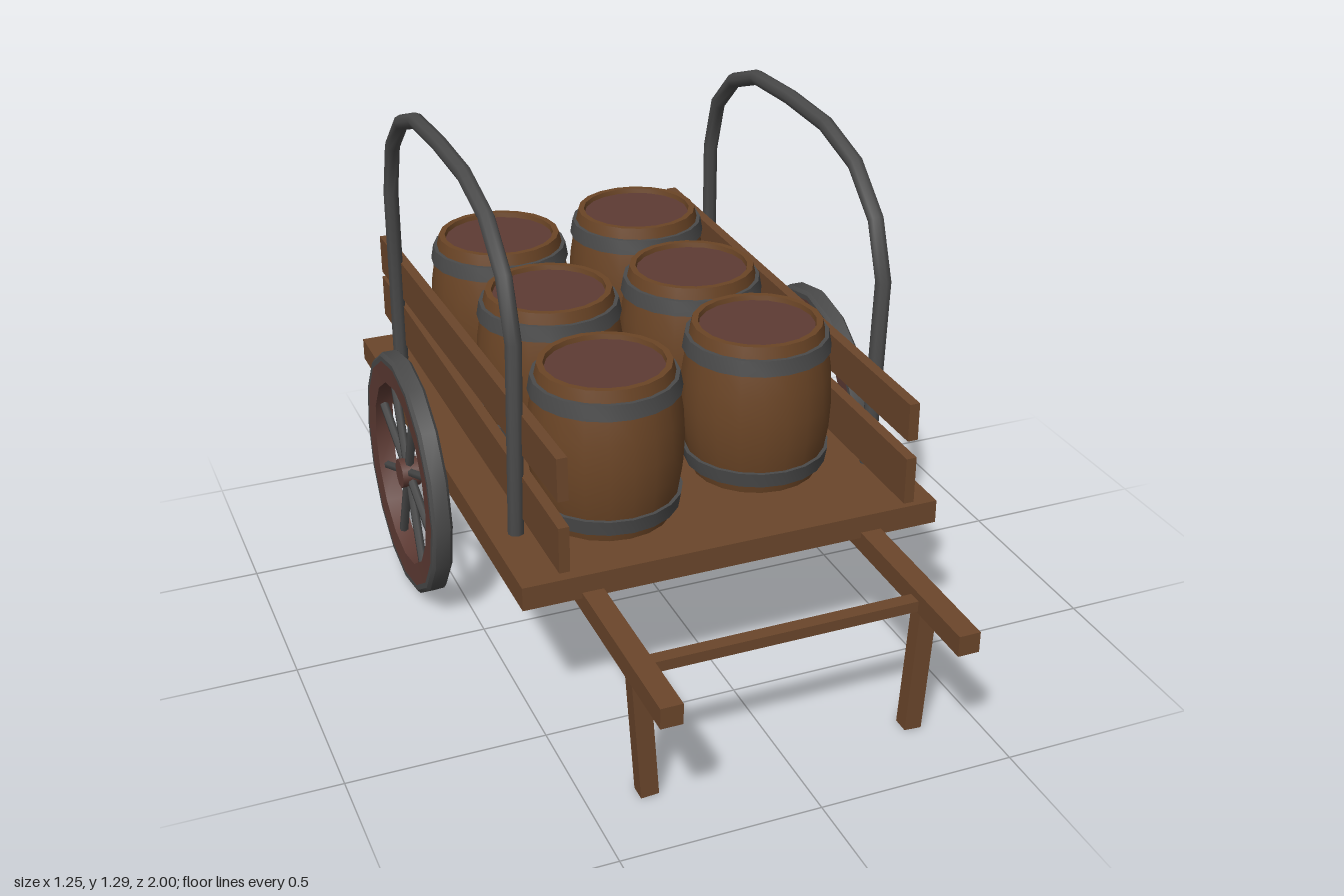
import * as THREE from 'three';
import { toCreasedNormals } from 'three/addons/utils/BufferGeometryUtils.js';

const material = (name, color) => new THREE.MeshStandardMaterial({ name, color });

export function createModel() {
  const wood = material('cart wood', 0x6b462b);
  const stave = material('barrel wood', 0x6b4526);
  const iron = material('dark iron', 0x4a4a4a);
  const red = material('reddish wood', 0x5e3b34);
  const cart = new THREE.Group();
  cart.name = 'barrelCart';

  function add(parent, name, geometry, mat, x = 0, y = 0, z = 0) {
    const mesh = new THREE.Mesh(geometry, mat);
    mesh.name = name;
    mesh.position.set(x, y, z);
    parent.add(mesh);
    return mesh;
  }
  const box = (name, w, h, d, x, y, z) => add(cart, name, new THREE.BoxGeometry(w, h, d), wood, x, y, z);
  const lathe = (points, sides) => toCreasedNormals(
    new THREE.LatheGeometry(points.map(([r, y]) => new THREE.Vector2(r, y)), sides), 0.5);

  // Flat bed
  box('bed', 1.095, 0.062, 1.47, -0.003, 0.406, -0.225);

  // Pulling shafts, legs and the bar between them
  for (const [side, x] of [['right', -0.375], ['left', 0.362]]) {
    box(side + 'Shaft', 0.055, 0.054, 1.45, x, 0.366, 0.275).rotation.x = 0.012;
    const leg = box(side + 'Leg', 0.045, 0.335, 0.043, x - Math.sign(x) * 0.012, 0.168, 0.792);
    leg.rotation.z = -Math.sign(x) * 0.065;
  }
  box('crossbar', 0.7, 0.028, 0.036, -0.006, 0.352, 0.79);

  // Side planks: name, height, x, y, tilt
  for (const [name, h, x, y, tilt] of [
    ['rightUpperPlank', 0.11, -0.457, 0.703, -0.029],
    ['rightLowerPlank', 0.12, -0.457, 0.545, 0.006],
    ['leftUpperPlank', 0.1, 0.444, 0.7, 0.006],
    ['leftLowerPlank', 0.125, 0.444, 0.541, 0.009],
  ]) box(name, 0.027, h, 1.545, x, y, -0.226).rotation.x = tilt;

  // Tall bent hoops, one tube ring at each bend
  const bends = [[0.262, 0.435], [0.295, 0.96], [0.24, 1.105], [0.12, 1.21], [-0.05, 1.258], [-0.26, 1.266],
    [-0.47, 1.258], [-0.62, 1.205], [-0.73, 1.105], [-0.78, 0.955], [-0.785, 0.435]];
  const bow = new THREE.CatmullRomCurve3(bends.map(([z, y]) => new THREE.Vector3(0, y, z)));
  bow.getPointAt = bow.getPoint;
  bow.getTangentAt = bow.getTangent;
  const bowGeometry = new THREE.TubeGeometry(bow, bends.length - 1, 0.021, 8);
  add(cart, 'rightHoop', bowGeometry, iron, -0.483);
  add(cart, 'leftHoop', bowGeometry, iron, 0.478);

  // Axle and spoked wheels
  const axle = add(cart, 'axle', new THREE.CylinderGeometry(0.017, 0.017, 1.2, 8), iron, 0, 0.345, -0.308);
  axle.rotation.z = Math.PI / 2;
  const tyre = lathe([[0.306, -0.027], [0.32, -0.027], [0.329, -0.019], [0.329, 0.019], [0.32, 0.027], [0.306, 0.027]], 16);
  const rim = lathe([[0.306, 0.027], [0.248, 0.024], [0.248, -0.024], [0.306, -0.027]], 16);
  const hubGeometry = new THREE.CylinderGeometry(0.04, 0.04, 0.05, 10);
  const spokeGeometry = new THREE.CylinderGeometry(0.012, 0.012, 0.23, 6);
  for (const [name, x] of [['rightWheel', -0.6], ['leftWheel', 0.6]]) {
    const wheel = new THREE.Group();
    wheel.name = name;
    wheel.position.set(x, 0.337, -0.308);
    wheel.rotation.z = Math.PI / 2;
    cart.add(wheel);
    add(wheel, 'tyre', tyre, iron);
    add(wheel, 'rim', rim, red);
    add(wheel, 'hub', hubGeometry, red);
    for (let i = 0; i < 8; i++) {
      const a = (i + 0.5) * Math.PI / 4;
      const spoke = add(wheel, 'spoke', spokeGeometry, iron, Math.cos(a) * 0.14, 0, Math.sin(a) * 0.14);
      spoke.rotation.set(0, -a, Math.PI / 2);
    }
  }

  // Barrels: bulging staves, recessed lid and two iron bands
  const body = lathe([[0, 0], [0.163, 0], [0.179, 0.06], [0.191, 0.13], [0.195, 0.2], [0.191, 0.275],
    [0.179, 0.35], [0.166, 0.408], [0.15, 0.408], [0.147, 0.39]], 20);
  const lid = new THREE.CylinderGeometry(0.15, 0.15, 0.008, 20);
  const band = lathe([[0.172, -0.02], [0.19, -0.02], [0.183, 0.02], [0.165, 0.02]], 20);
  for (const [x, z] of [[-0.22, -0.64], [0.203, -0.675], [-0.217, -0.23], [0.188, -0.235], [-0.235, 0.232], [0.203, 0.155]]) {
    const barrel = new THREE.Group();
    barrel.name = 'barrel';
    barrel.position.set(x, 0.437, z);
    cart.add(barrel);
    add(barrel, 'staves', body, stave);
    add(barrel, 'lid', lid, red, 0, 0.391, 0);
    add(barrel, 'upperBand', band, iron, 0, 0.358, 0);
    add(barrel, 'lowerBand', band, iron, 0, 0.047, 0).rotation.x = Math.PI;
  }
  return cart;
}
